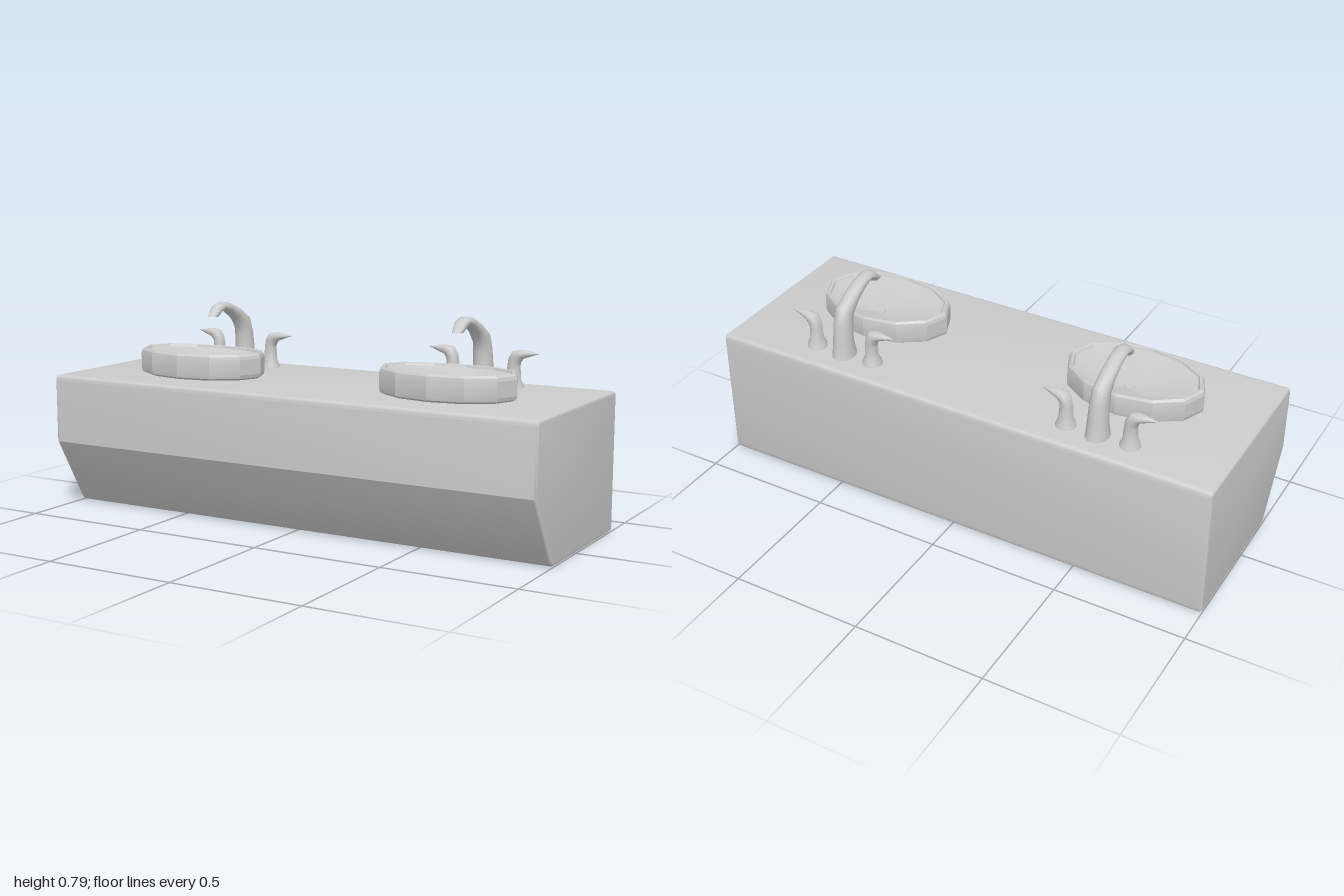
import * as THREE from 'three';
import { toCreasedNormals } from 'three/addons/utils/BufferGeometryUtils.js';

const material = new THREE.MeshStandardMaterial({ color: 0xcccccc });
const V = (x, y, z) => new THREE.Vector3(x, y, z);
const UP = V(0, 1, 0);

function addMesh(parent, name, geometry) {
  const mesh = new THREE.Mesh(geometry, material);
  mesh.name = name;
  parent.add(mesh);
  return mesh;
}

// Skin through elliptical sections [centre, travel direction, radius along u, other radius]
function loft(sections, sides, u, crease, rule) {
  const pos = [], index = [];
  sections.forEach(([c, d, ru, rv], i) => {
    const v = d.clone().normalize().cross(u);
    for (let j = 0; j < sides; j++) {
      const t = (j / sides) * Math.PI * 2;
      const p = c.clone().addScaledVector(u, Math.cos(t) * ru).addScaledVector(v, Math.sin(t) * rv);
      if (rule) rule(p);
      pos.push(p.x, p.y, p.z);
      if (i) {
        const k = (j + 1) % sides, a = (i - 1) * sides, b = i * sides;
        index.push(a + j, a + k, b + k, a + j, b + k, b + j);
      }
    }
  });
  const g = new THREE.BufferGeometry();
  g.setAttribute('position', new THREE.Float32BufferAttribute(pos, 3));
  g.setIndex(index);
  return toCreasedNormals(g, crease);
}

// Side profile with rounded corners and a slanted lower front, run along x
function cabinetGeometry() {
  const r = 0.02, b = 0.012;
  const s = new THREE.Shape();
  s.moveTo(-0.363, 0.26);
  s.lineTo(-0.228, 0.02);
  s.quadraticCurveTo(-0.217, 0, -0.195, 0);
  s.lineTo(0.363 - r, 0);
  s.quadraticCurveTo(0.363, 0, 0.363, r);
  s.lineTo(0.363, 0.52 - r);
  s.quadraticCurveTo(0.363, 0.52, 0.363 - r, 0.52);
  s.lineTo(-0.363 + r, 0.52);
  s.quadraticCurveTo(-0.363, 0.52, -0.363, 0.52 - r);
  s.closePath();
  const g = new THREE.ExtrudeGeometry(s, {
    depth: 2 - 2 * b, curveSegments: 4, bevelEnabled: true,
    bevelThickness: b, bevelSize: b, bevelOffset: -b, bevelSegments: 3,
  });
  g.translate(0, 0, -1 + b);
  g.rotateY(Math.PI / 2);
  return toCreasedNormals(g, 0.5);
}

// Twelve-sided oval vessel: [scale, height, centre z]
function basinGeometry() {
  const rings = [
    [0.001, 0.52, 0.05], [0.93, 0.52, 0.05], [0.985, 0.527, 0.05], [1, 0.54, 0.05],
    [1, 0.597, 0.05], [0.985, 0.61, 0.05], [0.95, 0.618, 0.05],
    [0.92, 0.616, 0.05], [0.9, 0.607, 0.05], [0.06, 0.575, 0], [0.001, 0.575, 0],
  ].map(([k, y, z]) => [V(0, y, z), UP, 0.265 * k, 0.17 * k]);
  // Rim dips a little towards the back
  return loft(rings, 12, V(1, 0, 0), 0.25, (p) => {
    if (p.y > 0.59 && p.z < 0) p.y += p.z * 0.06;
  });
}

// Curved, tapering spout: [y, z, dy, dz, radius in x, radius in the curve plane]
function spoutGeometry() {
  const rings = [
    [0.52, -0.247, 1, 0, 0.043, 0.055], [0.535, -0.247, 1, 0, 0.041, 0.051],
    [0.585, -0.249, 1, 0, 0.037, 0.041], [0.65, -0.242, 1, 0.15, 0.034, 0.042],
    [0.692, -0.231, 1, 0.65, 0.032, 0.04], [0.733, -0.183, 0.7, 0.9, 0.03, 0.026],
    [0.763, -0.122, 0.4, 1, 0.028, 0.02], [0.772, -0.08, 0, 1, 0.027, 0.017],
    [0.762, -0.052, -0.5, 1, 0.026, 0.018], [0.735, -0.025, -1, 0, 0.02, 0.025],
    [0.735, -0.025, -1, 0, 0.0005, 0.0005],
  ].map(([y, z, dy, dz, rx, rp]) => [V(0, y, z), V(0, dy, dz), rx, rp]);
  return loft(rings, 12, V(1, 0, 0), 0.8);
}

// Flared post bending outward into a pointed lever: [x, y, dx, dy, radius in z, radius in bend plane]
function handleGeometry() {
  const rings = [
    [0, 0.52, 0, 1, 0.039, 0.039], [0, 0.528, 0, 1, 0.037, 0.037],
    [0, 0.55, 0, 1, 0.027, 0.027], [0, 0.6, 0, 1, 0.024, 0.024],
    [0.003, 0.62, 0.3, 1, 0.024, 0.024], [0.013, 0.636, 1, 0.9, 0.024, 0.025],
    [0.03, 0.642, 1, 0.1, 0.021, 0.018], [0.06, 0.646, 1, 0.1, 0.012, 0.011],
    [0.097, 0.649, 1, 0.1, 0.001, 0.001],
  ].map(([x, y, dx, dy, rz, rp]) => [V(x, y, 0), V(dx, dy, 0), rz, rp]);
  return loft(rings, 10, V(0, 0, 1), 0.9);
}

export function createModel() {
  const model = new THREE.Group();
  model.name = 'doubleVanity';
  addMesh(model, 'cabinet', cabinetGeometry());

  const basin = basinGeometry(), spout = spoutGeometry(), handle = handleGeometry();
  const drain = new THREE.CylinderGeometry(0.018, 0.02, 0.006, 12);

  for (const side of [-1, 1]) {
    const station = new THREE.Group();
    station.name = side > 0 ? 'leftWashStation' : 'rightWashStation';
    station.position.x = side * 0.525;
    model.add(station);

    addMesh(station, 'basin', basin);
    addMesh(station, 'drain', drain).position.set(0, 0.577, 0);
    addMesh(station, 'spout', spout);
    for (const s of [-1, 1]) {
      const h = addMesh(station, s > 0 ? 'leftHandle' : 'rightHandle', handle);
      h.position.set(s * 0.123, 0, -0.247);
      if (s < 0) h.rotation.y = Math.PI;
    }
  }
  return model;
}
